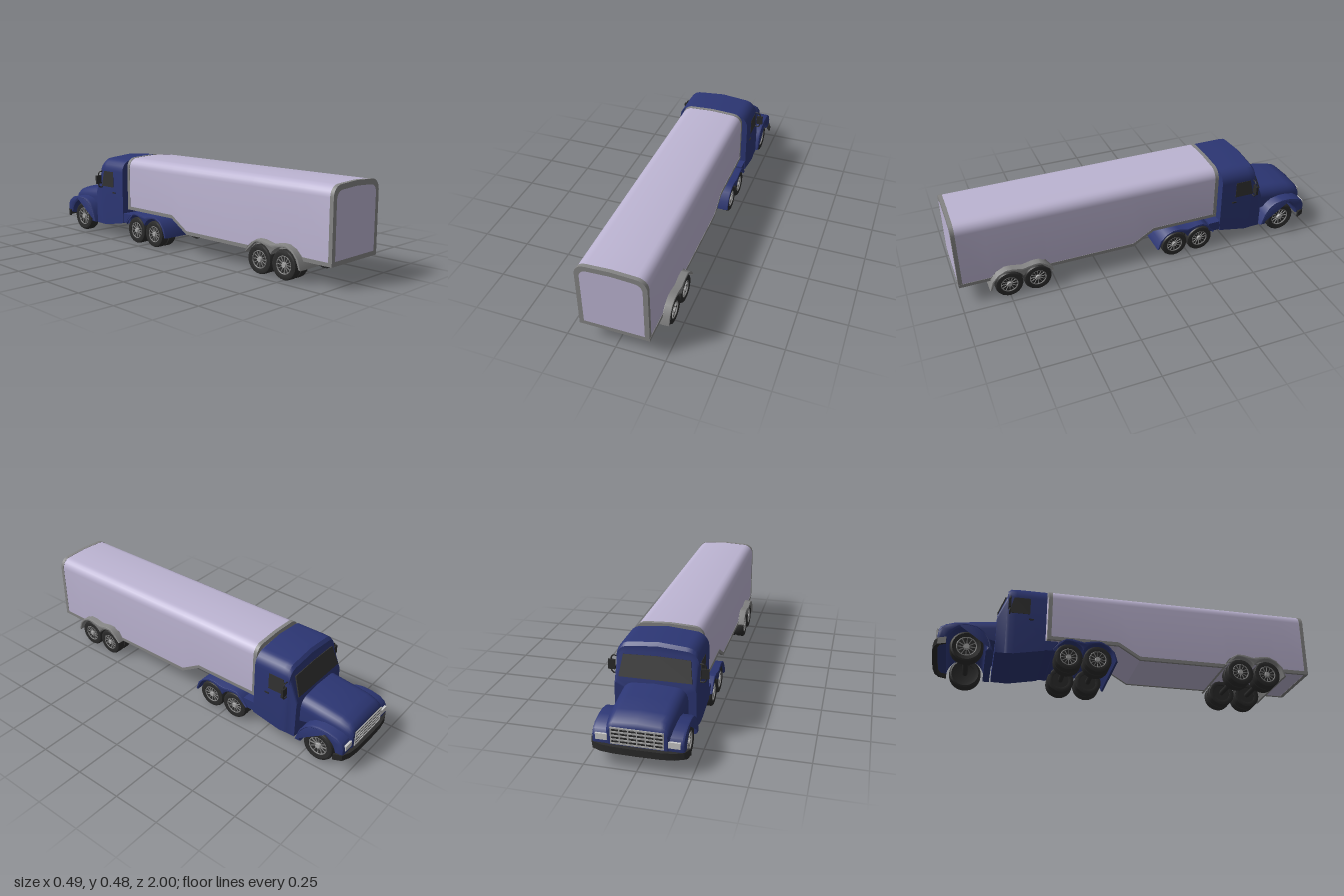
import * as THREE from 'three';
import { toCreasedNormals } from 'three/addons/utils/BufferGeometryUtils.js';

const mat = (color) => new THREE.MeshStandardMaterial({ color });
const BLUE = mat(0x2c3674), LILAC = mat(0xbcb4d2), GREY = mat(0x848484);
const DARK = mat(0x2b2b2b), GLASS = mat(0x333333), SILVER = mat(0xaaaaaa);

function add(parent, name, geo, material, x = 0, y = 0, z = 0) {
  const m = new THREE.Mesh(geo, material);
  m.name = name;
  m.position.set(x, y, z);
  parent.add(m);
  return m;
}
const box = (w, h, d) => new THREE.BoxGeometry(w, h, d);

// Cross-section with rounded top corners and a slight crown
function ring(z, w, b, t, r, crown = 0.006) {
  const pts = [[-w, b], [w, b]];
  for (let i = 0; i <= 6; i++) {
    const a = (i / 6) * Math.PI / 2;
    pts.push([w - r + r * Math.cos(a), t - crown - r + r * Math.sin(a)]);
  }
  pts.push([0, t]);
  for (let i = 8; i >= 2; i--) pts.push([-pts[i][0], pts[i][1]]);
  return pts.map(([x, y]) => [x, y, z]);
}

// Skin over rings ordered from +z to -z, with both ends closed
function loft(rings) {
  const pos = [], n = rings[0].length;
  const tri = (...p) => p.forEach((q) => pos.push(...q));
  for (let i = 0; i + 1 < rings.length; i++) {
    for (let j = 0; j < n; j++) {
      const k = (j + 1) % n, A = rings[i], B = rings[i + 1];
      tri(A[j], B[j], A[k]);
      tri(A[k], B[j], B[k]);
    }
  }
  const cap = (r, flip) => {
    const c = [0, (r[0][1] + r[9][1]) / 2, r[0][2]];
    for (let j = 0; j < n; j++) {
      const k = (j + 1) % n;
      flip ? tri(c, r[k], r[j]) : tri(c, r[j], r[k]);
    }
  };
  cap(rings[0], false);
  cap(rings[rings.length - 1], true);
  const g = new THREE.BufferGeometry();
  g.setAttribute('position', new THREE.Float32BufferAttribute(pos, 3));
  return toCreasedNormals(g, 0.55);
}

// Side outline given as [z, y], extruded across x and centred
function across(points, width, bevel = 0) {
  const shape = new THREE.Shape(points.map(([z, y]) => new THREE.Vector2(z, y)));
  const g = new THREE.ExtrudeGeometry(shape, {
    depth: width - 2 * bevel, bevelEnabled: bevel > 0, bevelSize: bevel,
    bevelThickness: bevel, bevelOffset: -bevel, bevelSegments: 2,
  });
  g.translate(0, 0, bevel - width / 2).rotateY(-Math.PI / 2);
  return toCreasedNormals(g, 0.6);
}

// Points on a wheel-arch arc, angles in radians from +z towards +y
function arc(cz, cy, r, a0, a1, n = 10) {
  return Array.from({ length: n + 1 }, (_, i) => {
    const a = a0 + (a1 - a0) * i / n;
    return [cz + r * Math.cos(a), cy + r * Math.sin(a)];
  });
}

// Double-hump mudguard over a pair of axles
function tandemFender(dz) {
  const outer = [[.853, .065], [.838, .115], [.805, .152], [.765, .171], [.73, .171], [.675, .159],
    [.62, .171], [.585, .171], [.55, .15], [.515, .105]];
  const meet = Math.acos(.075 / .084);
  const inner = [[.522, .098], ...arc(.6, .073, .084, 2.75, meet), ...arc(.75, .073, .084, Math.PI - meet, .3), [.842, .065]];
  return across([...outer, ...inner].map(([z, y]) => [z + dz, y]), .424, .005);
}

// One tyre with a spoked rim, outer face towards +x
function wheel(r, width) {
  const g = new THREE.Group();
  g.name = 'wheel';
  const h = width / 2, q = r * .62;
  const profile = [[0, -h * .7], [q, -h * .7], [q, -h * .9], [r * .85, -h], [r * .95, -h * .9], [r, -h * .6],
    [r, h * .6], [r * .95, h * .9], [r * .85, h], [q, h * .9], [q, h * .55], [0, h * .55]]
    .map(([a, b]) => new THREE.Vector2(a, b));
  const tyre = new THREE.LatheGeometry(profile, 28).rotateZ(-Math.PI / 2);
  add(g, 'tyre', toCreasedNormals(tyre, .5), DARK);
  add(g, 'rim', new THREE.TorusGeometry(q * .95, r * .04, 6, 28).rotateY(Math.PI / 2), GREY, h * .8);
  add(g, 'hub', new THREE.CylinderGeometry(r * .16, r * .2, h * .5, 14).rotateZ(-Math.PI / 2), SILVER, h * .75);
  for (let i = 0; i < 12; i++) {
    const spoke = box(h * .2, q * .85, r * .045).translate(0, q * .5, 0).rotateX(i * Math.PI / 6);
    add(g, 'spoke', spoke, GREY, h * .62);
  }
  return g;
}

function addWheels(parent, z, r, width, xs) {
  for (const side of [1, -1]) for (const x of xs) {
    const w = wheel(r, width);
    w.position.set(side * x, r, z);
    if (side < 0) w.rotation.y = Math.PI;
    parent.add(w);
  }
  add(parent, 'axle', new THREE.CylinderGeometry(.014, .014, xs[0] * 2, 10).rotateZ(Math.PI / 2), DARK, 0, r, z);
}

function buildTrailer() {
  const g = new THREE.Group();
  g.name = 'trailer';
  const sect = (z, b, e = 0) => ring(z, .174 + e, b - e, .476 + e, .055);
  const floor = [[1, .105], [.835, .105], [.8, .14], [.55, .14], [.525, .105], [.06, .105], [-.055, .176], [-.43, .176]];
  // Panelled body with stepped floor
  const inset = floor.map(([z, y]) => [THREE.MathUtils.clamp(z, -.425, .995), y]);
  add(g, 'body', loft(inset.map(([z, y]) => sect(z, y))), LILAC);
  // Grey end frames and inset end panels
  for (const [z0, z1, b, s] of [[1, .98, .105, 1], [-.41, -.43, .176, -1]]) {
    add(g, 'endFrame', loft([sect(z0, b, .0015), sect(z1, b, .0015)]), GREY);
    const pts = ring(0, .152, b + .021, .452, .04).map(([x, y]) => new THREE.Vector2(x, y));
    const panel = new THREE.ShapeGeometry(new THREE.Shape(pts));
    if (s < 0) panel.rotateY(Math.PI);
    add(g, 'endPanel', panel, LILAC, 0, 0, s > 0 ? 1.0005 : -.4305);
  }
  // Bottom side rails
  const rail = across([...floor.map(([z, y]) => [z, y - .0015]), ...floor.slice().reverse().map(([z, y]) => [z, y + .017])], .014);
  for (const s of [1, -1]) add(g, 'bottomRail', rail, GREY, s * .169);
  add(g, 'trailerFender', tandemFender(0), GREY);
  for (const z of [.75, .6]) addWheels(g, z, .073, .05, [.128, .181]);
  return g;
}

function buildTractor() {
  const g = new THREE.Group();
  g.name = 'tractor';
  // Cab with brow and sloping front
  add(g, 'cab', loft([ring(-.442, .203, .095, .469, .07, .012), ring(-.6, .203, .065, .469, .07, .012),
    ring(-.628, .202, .065, .466, .068, .012), ring(-.643, .2, .065, .45, .06, .012),
    ring(-.645, .199, .065, .418, .05, .008), ring(-.692, .199, .065, .285, .03, .005)]), BLUE);
  // Windscreen
  const ws = new THREE.Shape([[-.178, -.055], [.178, -.055], [.163, .052], [0, .057], [-.163, .052]].map((p) => new THREE.Vector2(...p)));
  const glass = new THREE.ExtrudeGeometry(ws, { depth: .008, bevelEnabled: false }).translate(0, 0, -.004);
  add(g, 'windscreen', glass, GLASS, 0, .35, -.669).rotation.x = .34;
  // Bonnet
  add(g, 'bonnet', loft([ring(-.68, .16, .14, .283, .06), ring(-.8, .158, .17, .27, .06), ring(-.9, .155, .17, .256, .055),
    ring(-.945, .15, .11, .242, .05), ring(-.968, .145, .105, .225, .04), ring(-.978, .138, .105, .204, .03)]), BLUE);
  // Front mudguards, joined across the engine bay
  const fender = [[-.7, .065], [-.722, .13], [-.75, .172], [-.785, .196], [-.83, .205], [-.88, .203], [-.93, .192],
    [-.96, .172], [-.974, .145], [-.974, .1], ...arc(-.83, .083, .1, Math.PI - .1, .1, 18), [-.735, .065]];
  add(g, 'frontFender', across(fender.reverse(), .428, .012), BLUE);
  // Grille
  add(g, 'grilleBack', box(.24, .078, .01), DARK, 0, .16, -.977);
  for (let i = 0; i <= 4; i++) add(g, 'grilleBar', box(.246, .007, .006), SILVER, 0, .122 + i * .019, -.983);
  for (let i = 0; i <= 6; i++) add(g, 'grillePost', box(.005, .08, .006), SILVER, -.12 + i * .04, .16, -.983);
  // Curved bumper
  const front = [[0, 1], [.11, .998], [.17, .99], [.212, .972], [.232, .93]];
  const back = [[.22, .93], [.2, .96], [.165, .972], [0, .975]];
  const half = [...front, ...back];
  const outline = [...half, ...half.slice(1, -1).reverse().map(([x, y]) => [-x, y])];
  const bumper = new THREE.ExtrudeGeometry(new THREE.Shape(outline.map((p) => new THREE.Vector2(...p))),
    { depth: .034, bevelEnabled: false }).rotateX(-Math.PI / 2);
  add(g, 'bumper', toCreasedNormals(bumper, .6), DARK, 0, .077, 0);
  // Parts on each side
  for (const s of [1, -1]) {
    add(g, 'headlight', box(.055, .03, .02), mat(0xcccccc), s * .168, .143, -.968);
    const win = across([[-.527, .292], [-.527, .382], [-.612, .382], [-.635, .292]], .006);
    add(g, 'sideWindow', win, GLASS, s * .2015);
    add(g, 'doorHandle', box(.006, .007, .025), DARK, s * .205, .262, -.52);
    const path = new THREE.CurvePath();
    const p = [[.195, .378], [.22, .378], [.23, .368], [.23, .295], [.22, .286], [.195, .286]]
      .map(([x, y]) => new THREE.Vector3(s * x, y, -.632));
    for (let i = 0; i < 5; i++) path.add(new THREE.LineCurve3(p[i], p[i + 1]));
    add(g, 'mirrorArm', new THREE.TubeGeometry(path, 30, .0035, 6), DARK);
    add(g, 'mirror', box(.034, .049, .012), DARK, s * .228, .331, -.634);
  }
  // Rear deck, mudguards and wheels
  add(g, 'rearDeck', box(.4, .052, .075), BLUE, 0, .126, -.415);
  add(g, 'coupling', new THREE.CylinderGeometry(.07, .07, .03, 24), DARK, 0, .162, -.245);
  add(g, 'rearFender', tandemFender(-.92), BLUE);
  for (const z of [-.17, -.32]) addWheels(g, z, .073, .05, [.128, .181]);
  addWheels(g, -.83, .083, .06, [.174]);
  return g;
}

export function createModel() {
  const truck = new THREE.Group();
  truck.name = 'articulatedTruck';
  truck.add(buildTrailer(), buildTractor());
  return truck;
}
